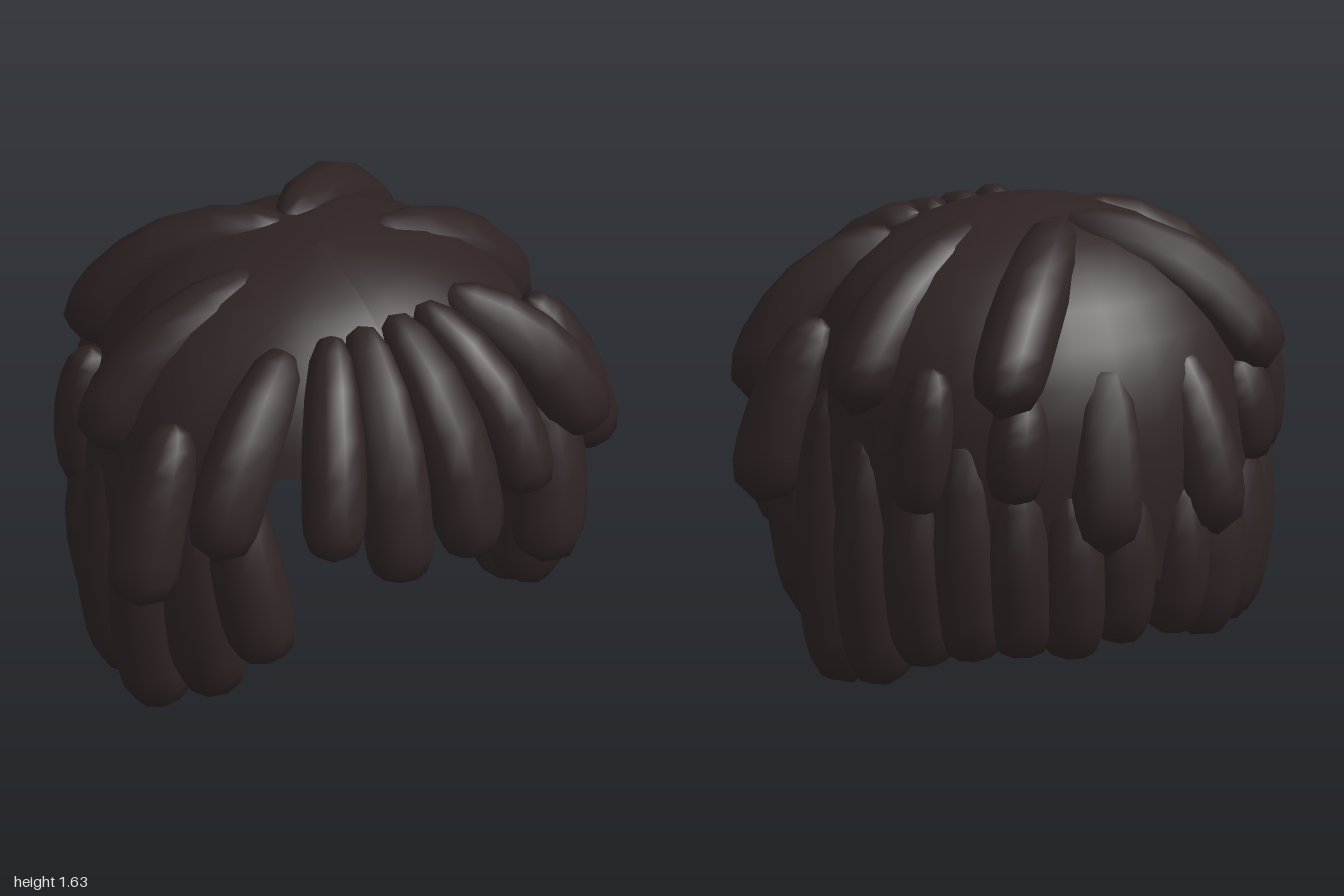
import * as THREE from 'three';

const SIDES = 10;
const CENTRE = new THREE.Vector3(0, 0.7, 0);

// A tapered lock of hair from root to tip, bulging away from the head: thin root, full body, blunt point.
function lockGeometry(radius, root, tip, bulge, side) {
  const a = new THREE.Vector3(root[0] * side, root[1], root[2]);
  const b = new THREE.Vector3(tip[0] * side, tip[1], tip[2]);
  const control = a.clone().add(b).multiplyScalar(0.5);
  control.addScaledVector(control.clone().sub(CENTRE).normalize(), bulge * 2);
  const curve = new THREE.QuadraticBezierCurve3(a, control, b);
  const length = curve.getLength();
  const end = (d) => 1 - (d * radius) / length;
  const body = end(1.6);
  const rings = [
    [0, 0], [0.03, 0.42], [0.15 * body, 0.68], [0.35 * body, 0.86], [0.6 * body, 0.97], [0.8 * body, 1],
    [body, 1], [end(1), 0.95], [end(0.45), 0.76], [1, 0],
  ];
  const pos = [], index = [];
  for (const [t, s] of rings) {
    const p = curve.getPointAt(t), tan = curve.getTangentAt(t);
    const out = p.clone().sub(CENTRE);
    out.addScaledVector(tan, -out.dot(tan)).normalize();
    const across = tan.clone().cross(out);
    for (let j = 0; j < SIDES; j++) {
      const angle = (j / SIDES) * Math.PI * 2;
      const v = p.clone()
        .addScaledVector(across, Math.cos(angle) * s * radius)
        .addScaledVector(out, Math.sin(angle) * s * radius);
      pos.push(v.x, v.y, v.z);
    }
  }
  for (let i = 0; i < rings.length - 1; i++) {
    for (let j = 0; j < SIDES; j++) {
      const p = i * SIDES + j, q = i * SIDES + ((j + 1) % SIDES);
      index.push(p, p + SIDES, q, q, p + SIDES, q + SIDES);
    }
  }
  const geo = new THREE.BufferGeometry();
  geo.setAttribute('position', new THREE.Float32BufferAttribute(pos, 3));
  geo.setIndex(index);
  geo.computeVertexNormals();
  return geo;
}

// Dome under the locks, with its rim raised over the face.
function capGeometry() {
  const profile = new THREE.CatmullRomCurve3(
    [[0, 1.63], [0.2, 1.6], [0.42, 1.53], [0.61, 1.4], [0.75, 1.2], [0.81, 0.98], [0.82, 0.72], [0.78, 0.42]]
      .map(([r, y]) => new THREE.Vector3(r, y, 0)));
  const geo = new THREE.PlaneGeometry(1, 1, 32, 12);
  const p = geo.attributes.position;
  for (let i = 0; i < p.count; i++) {
    const angle = (p.getX(i) + 0.5) * Math.PI * 2;
    const c = Math.cos(angle);
    const front = THREE.MathUtils.smoothstep(c, 0.35, 0.75);
    const q = profile.getPointAt((0.5 - p.getY(i)) * (1 - 0.42 * front));
    p.setXYZ(i, Math.sin(angle) * q.x, q.y, c * q.x * (c > 0 ? 0.84 : 0.95));
  }
  geo.computeVertexNormals();
  return geo;
}

// Left-hand upper locks: name, radius, root, tip, bulge.
const UPPER = [
  ['innerFringe', 0.125, [0.06, 1.52, 0.36], [0.14, 0.73, 0.77], 0.13],
  ['middleFringe', 0.112, [0.17, 1.52, 0.36], [0.39, 0.89, 0.75], 0.1],
  ['outerFringe', 0.13, [0.31, 1.47, 0.3], [0.74, 0.9, 0.55], 0.09],
  ['cheekLock', 0.13, [0.6, 1.15, 0.42], [0.54, 0.43, 0.58], 0.04],
  ['templeLock', 0.13, [0.7, 1.26, 0.22], [0.9, 0.62, 0.31], 0.02],
  ['crownSideLock', 0.13, [0.18, 1.53, -0.02], [0.82, 1.0, -0.1], 0.115],
  ['crownBackLock', 0.13, [0, 1.55, -0.2], [0.58, 1.05, -0.61], 0.12],
  ['upperBackLock', 0.13, [0.15, 1.2, -0.61], [0.24, 0.55, -0.77], 0.02],
  ['upperRearSideLock', 0.11, [0.68, 1.2, -0.37], [0.71, 0.67, -0.33], 0.02],
  ['upperRearLock', 0.11, [0.45, 1.12, -0.57], [0.5, 0.72, -0.58], 0.02],
];

// Long lower locks hang around an oval: name, radius, degrees from the side towards the front, top, tip.
const LOWER = [
  ['lowerFrontLock', 0.135, 29, 1.05, 0.17],
  ['lowerSideLock', 0.13, 8, 1.07, 0],
  ['lowerMiddleLock', 0.125, -9, 0.97, 0.03],
  ['lowerRearSideLock', 0.12, -25, 0.95, 0.12],
  ['lowerRearLock', 0.12, -39, 1.0, 0.15],
  ['napeOuterLock', 0.12, -53, 0.9, 0.17],
  ['napeMiddleLock', 0.12, -67, 0.85, 0.16],
  ['napeInnerLock', 0.115, -81, 0.85, 0.2],
];

export function createModel() {
  const hair = new THREE.MeshStandardMaterial({ color: 0x2e2323, side: THREE.DoubleSide });
  hair.name = 'dark brown hair';
  const group = new THREE.Group();
  group.name = 'hair';

  const cap = new THREE.Mesh(capGeometry(), hair);
  cap.name = 'cap';
  group.add(cap);

  // Each lock is made on the left and mirrored to the right
  const addPair = (name, radius, root, tip, bulge) => {
    for (const side of [1, -1]) {
      const lock = new THREE.Mesh(lockGeometry(radius, root, tip, bulge, side), hair);
      lock.name = name + (side > 0 ? 'Left' : 'Right');
      group.add(lock);
    }
  };
  for (const lock of UPPER) addPair(...lock);
  for (const [name, radius, degrees, top, tip] of LOWER) {
    const angle = THREE.MathUtils.degToRad(degrees);
    const x = 0.78 * Math.cos(angle), z = 0.7 * Math.sin(angle);
    addPair(name, radius, [x * 0.95, top, z * 0.95], [x * 0.86, tip, z * 0.92], 0.06);
  }
  return group;
}
